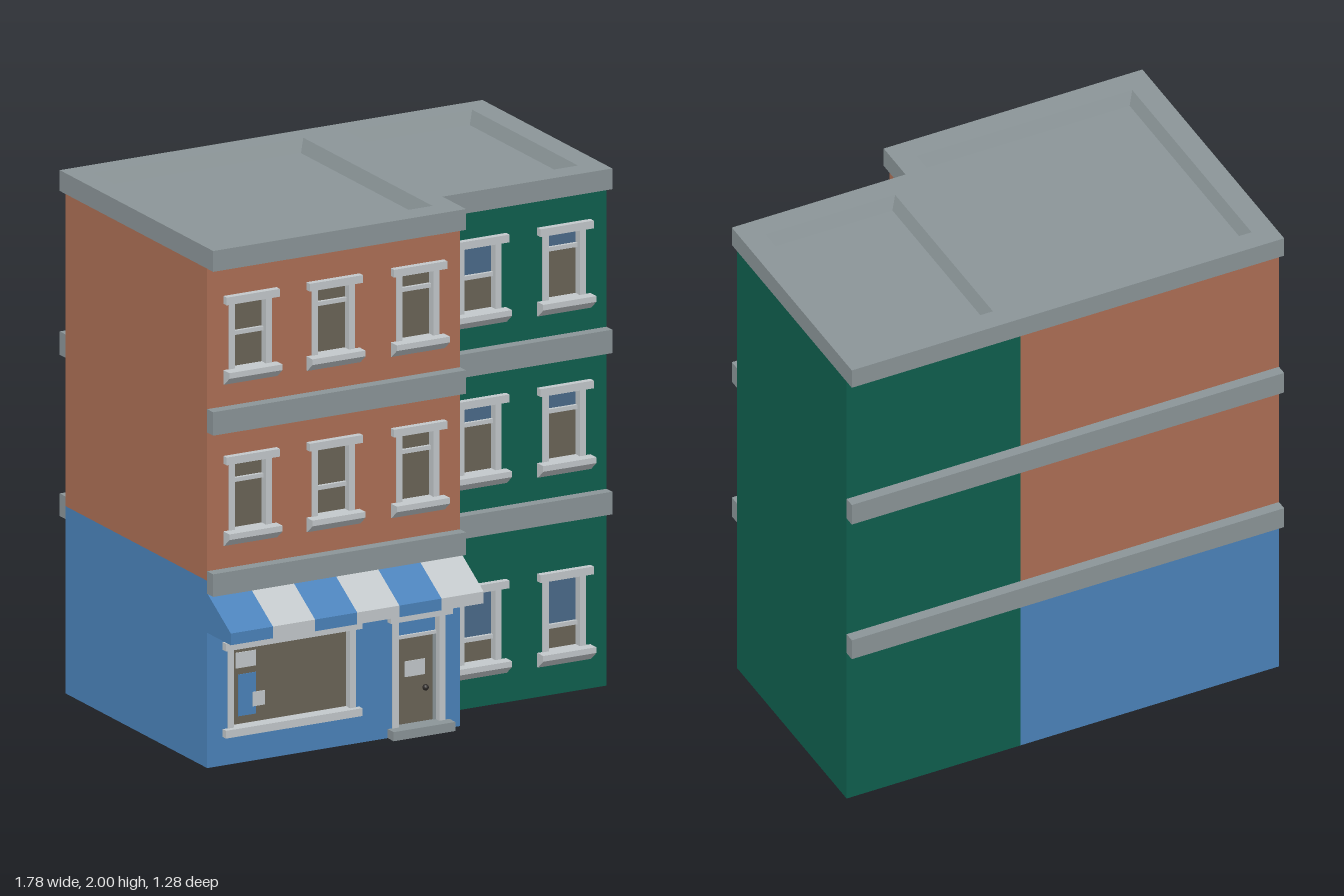
import * as THREE from 'three';

export function createModel() {
  const root = new THREE.Group();
  root.name = 'cornerBuildings';
  const mat = (name, color, double) => {
    const m = new THREE.MeshStandardMaterial({ color });
    m.name = name;
    if (double) m.side = THREE.DoubleSide;
    return m;
  };
  const brick = mat('brick', 0xad6f55, true);
  const blue = mat('shopBlue', 0x4b83bb, true);
  const green = mat('greenPaint', 0x0f5f4e, true);
  const stone = mat('stone', 0x8b9598, true);
  const trim = mat('paleTrim', 0xc3c8cb, true);
  const pane = mat('darkPane', 0x6a6457, true);
  const blind = mat('blueBlind', 0x4b6a8a, true);
  const dark = mat('darkMetal', 0x2e2b28);

  const L = -0.89, M = 0.175, R = 0.89;           // left end, party line, right end
  const BACK = -0.6, FL = 0.465, FR = 0.29;       // back and the two fronts
  const SPLIT = 0.72, TOP = 1.92;

  const add = (name, geo, material, parent = root) => {
    const m = new THREE.Mesh(geo, material);
    m.name = name;
    parent.add(m);
    return m;
  };
  // box given by its limits
  const box = (name, x0, x1, y0, y1, z0, z1, material, parent) => {
    const g = new THREE.BoxGeometry(x1 - x0, y1 - y0, z1 - z0);
    g.translate((x0 + x1) / 2, (y0 + y1) / 2, (z0 + z1) / 2);
    return add(name, g, material, parent);
  };
  // (z, y) profile swept along x
  const prism = (name, pts, x0, x1, material, parent) => {
    const s = new THREE.Shape(pts.map(p => new THREE.Vector2(p[0], p[1])));
    const g = new THREE.ExtrudeGeometry(s, { depth: x1 - x0, bevelEnabled: false });
    g.rotateY(-Math.PI / 2);
    g.translate(x1, 0, 0);
    return add(name, g, material, parent);
  };
  const rect = (C, x0, x1, y0, y1) =>
    new C([[x0, y0], [x1, y0], [x1, y1], [x0, y1]].map(p => new THREE.Vector2(p[0], p[1])));
  // front wall with openings
  const frontWall = (name, x0, x1, y0, y1, z, holes, material) => {
    const s = rect(THREE.Shape, x0, x1, y0, y1);
    holes.forEach(h => s.holes.push(rect(THREE.Path, ...h)));
    const g = new THREE.ShapeGeometry(s);
    g.translate(0, 0, z);
    add(name, g, material);
  };
  const backWall = (name, x0, x1, y0, y1, material) => {
    const g = new THREE.PlaneGeometry(x1 - x0, y1 - y0);
    g.rotateY(Math.PI);
    g.translate((x0 + x1) / 2, (y0 + y1) / 2, BACK);
    add(name, g, material);
  };
  const sideWall = (name, x, dir, z0, z1, y0, y1, material) => {
    const g = new THREE.PlaneGeometry(z1 - z0, y1 - y0);
    g.rotateY(dir * Math.PI / 2);
    g.translate(x, (y0 + y1) / 2, (z0 + z1) / 2);
    add(name, g, material);
  };

  // Sash windows: header, jambs, sloped sill, crossbar, panes
  const opening = (x, y, h) => [x - 0.09, x + 0.09, y, y + h];
  const sashWindow = (x, y, h, bar, z, upper) => {
    const g = new THREE.Group();
    g.name = 'sashWindow';
    g.position.set(x, y, z);
    root.add(g);
    box('header', -0.112, 0.112, h, h + 0.03, -0.04, 0.025, trim, g);
    for (const s of [-1, 1]) {
      box('jamb', s * 0.078 - 0.013, s * 0.078 + 0.013, 0, h, -0.04, 0.004, trim, g);
    }
    prism('sill', [[-0.04, -0.02], [-0.04, 0], [0.045, 0], [0.045, -0.022], [0.006, -0.055], [0, -0.055], [0, -0.02]],
      -0.112, 0.112, trim, g);
    box('crossbar', -0.066, 0.066, bar - 0.008, bar + 0.008, -0.035, -0.015, trim, g);
    box('lowerPane', -0.066, 0.066, 0, bar, -0.034, -0.028, pane, g);
    box('upperPane', -0.066, 0.066, bar, h, -0.034, -0.028, upper, g);
  };
  const leftX = [-0.71, -0.36, -0.005], rightX = [0.355, 0.71];
  const rows = [
    { y: 0.17, h: 0.275, bars: [0, 0, 0, 0.087, 0.087] },
    { y: 0.9, h: 0.26, bars: [0.185, 0.1, 0.185, 0.185, 0.185] },
    { y: 1.52, h: 0.255, bars: [0.13, 0.188, 0.188, 0.13, 0.188] },
  ];
  const leftHoles = [], rightHoles = [];
  rows.forEach((r, i) => {
    if (i > 0) leftX.forEach((x, k) => {
      leftHoles.push(opening(x, r.y, r.h));
      sashWindow(x, r.y, r.h, r.bars[k], FL, pane);
    });
    rightX.forEach((x, k) => {
      rightHoles.push(opening(x, r.y, r.h));
      sashWindow(x, r.y, r.h, r.bars[k + 3], FR, blind);
    });
  });

  // Walls
  frontWall('shopFront', L, M, 0, SPLIT, FL, [[-0.8, -0.27, 0.14, 0.445], [-0.108, 0.108, 0.035, 0.445]], blue);
  frontWall('brickFront', L, M, SPLIT, TOP, FL, leftHoles, brick);
  frontWall('greenFront', M, R, 0, TOP, FR, rightHoles, green);
  backWall('shopBack', L, M, 0, SPLIT, blue);
  backWall('brickBack', L, M, SPLIT, TOP, brick);
  backWall('greenBack', M, R, 0, TOP, green);
  sideWall('shopSide', L, -1, BACK, FL, 0, SPLIT, blue);
  sideWall('brickSide', L, -1, BACK, FL, SPLIT, TOP, brick);
  sideWall('shopReturn', M, 1, FR, FL, 0, SPLIT, blue);
  sideWall('brickReturn', M, 1, FR, FL, SPLIT, TOP, brick);
  sideWall('greenSide', R, 1, BACK, FR, 0, TOP, green);

  // Stone bands between floors
  for (const [y0, y1] of [[0.67, 0.757], [1.29, 1.38]]) {
    box('frontBandLeft', L, M, y0, y1, FL, 0.51, stone);
    box('frontBandRight', M, R, y0, y1, FR, 0.333, stone);
    box('backBand', L, R, y0, y1, -0.642, BACK, stone);
  }

  // Flat roof with cornice and two sunken panels
  const roofShape = () => new THREE.Shape([[L, -0.51], [M, -0.51], [M, -0.333], [R, -0.333], [R, 0.642], [L, 0.642]]
    .map(p => new THREE.Vector2(p[0], p[1])));
  const slab = (name, shape, y0, y1) => {
    const g = new THREE.ExtrudeGeometry(shape, { depth: y1 - y0, bevelEnabled: false });
    g.rotateX(-Math.PI / 2);
    g.translate(0, y0, 0);
    add(name, g, stone);
  };
  const FLOOR = 1.95, INSET = 0.022;
  const sunk = [[-0.8, 0.087, -0.555, 0.415], [0.265, 0.798, -0.555, 0.24]];
  const rim = roofShape();
  sunk.forEach(([x0, x1, z0, z1]) => rim.holes.push(rect(THREE.Path, x0, x1, -z1, -z0)));
  slab('roofDeck', roofShape(), TOP, FLOOR);
  slab('cornice', rim, FLOOR, 2);
  sunk.forEach(([x0, x1, z0, z1]) => {
    const ring = (i, y) => [[x0 + i, y, z0 + i], [x0 + i, y, z1 - i], [x1 - i, y, z1 - i], [x1 - i, y, z0 + i]];
    const a = ring(0, 2), b = ring(INSET, FLOOR), pos = [];
    for (let i = 0; i < 4; i++) {
      const j = (i + 1) % 4;
      pos.push(...a[i], ...b[i], ...b[j], ...a[i], ...b[j], ...a[j]);
    }
    const g = new THREE.BufferGeometry();
    g.setAttribute('position', new THREE.Float32BufferAttribute(pos, 3));
    g.computeVertexNormals();
    add('roofPanelSlope', g, stone);
  });

  // Striped awning
  const stripe = (M - L) / 6;
  for (let i = 0; i < 6; i++) {
    prism('awningStripe', [[FL, 0.52], [0.642, 0.52], [0.642, 0.565], [FL, 0.672]],
      L + i * stripe, L + (i + 1) * stripe, i % 2 ? trim : blue);
  }

  // Shop window with posters
  const shop = new THREE.Group();
  shop.name = 'shopWindow';
  shop.position.z = FL;
  root.add(shop);
  box('header', -0.825, -0.25, 0.445, 0.475, -0.04, 0.025, trim, shop);
  box('sill', -0.825, -0.25, 0.11, 0.14, -0.04, 0.025, trim, shop);
  box('jamb', -0.805, -0.78, 0.14, 0.445, -0.04, 0.004, trim, shop);
  box('jamb', -0.29, -0.265, 0.14, 0.445, -0.04, 0.004, trim, shop);
  box('pane', -0.78, -0.29, 0.14, 0.445, -0.034, -0.028, pane, shop);
  box('poster', -0.755, -0.67, 0.355, 0.415, -0.028, -0.025, trim, shop);
  box('poster', -0.745, -0.67, 0.17, 0.33, -0.028, -0.025, blue, shop);
  box('poster', -0.685, -0.635, 0.2, 0.255, -0.025, -0.022, trim, shop);

  // Door, transom and step
  const door = new THREE.Group();
  door.name = 'shopDoor';
  door.position.z = FL;
  root.add(door);
  box('header', -0.13, 0.13, 0.445, 0.475, -0.04, 0.025, trim, door);
  for (const s of [-1, 1]) {
    box('jamb', s * 0.098 - 0.013, s * 0.098 + 0.013, 0.035, 0.445, -0.04, 0.004, trim, door);
    box('doorEdge', s * 0.079 - 0.006, s * 0.079 + 0.006, 0.035, 0.37, -0.034, -0.02, stone, door);
  }
  box('transom', -0.085, 0.085, 0.375, 0.445, -0.034, -0.028, blue, door);
  box('transomBar', -0.085, 0.085, 0.365, 0.377, -0.034, -0.018, trim, door);
  box('doorLeaf', -0.074, 0.074, 0.035, 0.365, -0.034, -0.026, pane, door);
  box('doorSign', -0.045, 0.04, 0.215, 0.275, -0.026, -0.022, trim, door);
  const knob = add('doorKnob', new THREE.SphereGeometry(0.012, 12, 8), dark, door);
  knob.position.set(0.04, 0.165, -0.018);
  box('doorStep', -0.13, 0.13, 0, 0.035, -0.04, 0.045, stone, door);

  return root;
}
